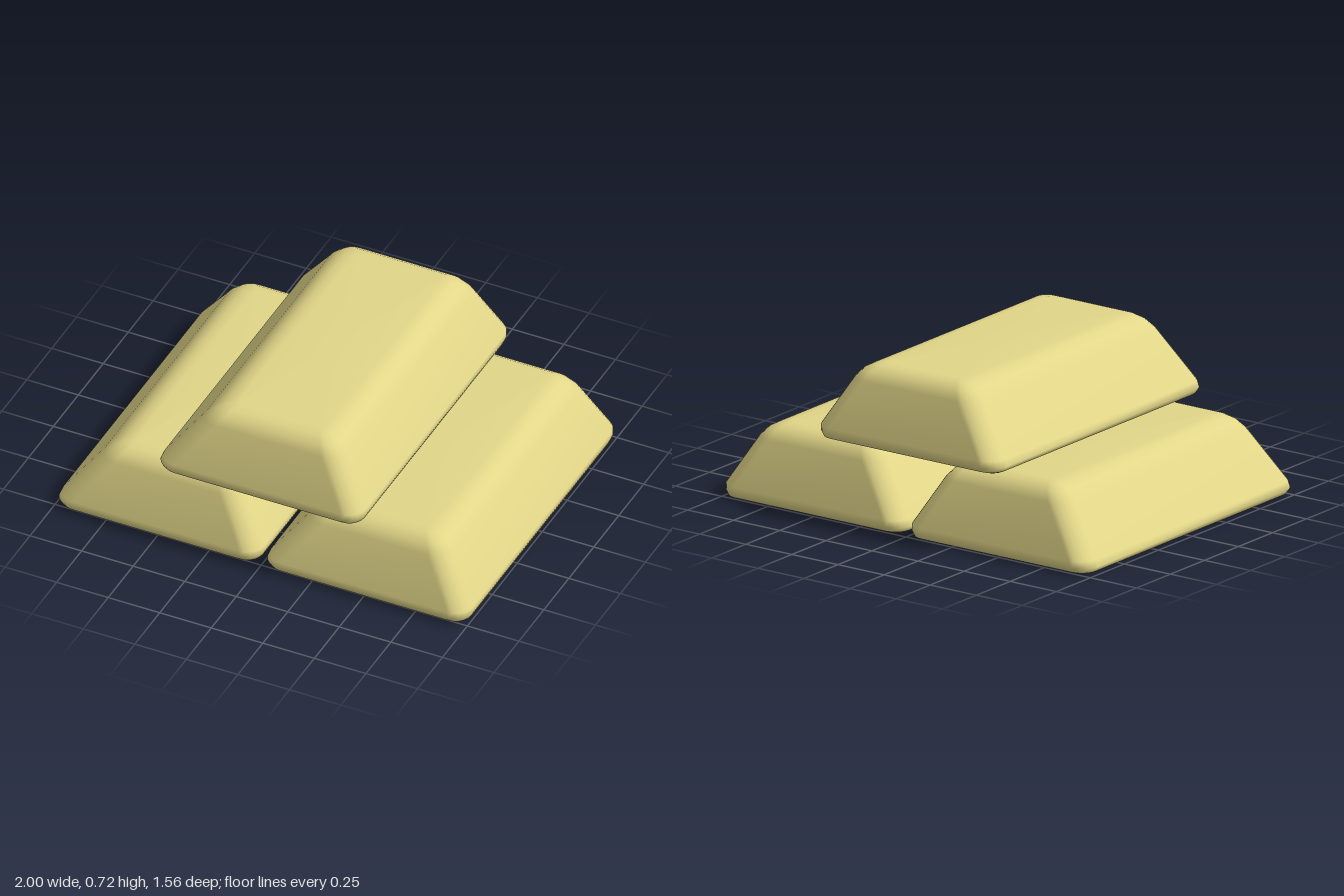
import * as THREE from 'three';

// Bar cross-sections from bottom to top: height, left x, right x, half length, corner radius
const SECTIONS = [
  [0, -0.455, 0.465, 0.73, 0.05],
  [0.012, -0.48, 0.485, 0.765, 0.075],
  [0.035, -0.495, 0.494, 0.777, 0.085],
  [0.065, -0.482, 0.494, 0.778, 0.085],
  [0.285, -0.315, 0.365, 0.705, 0.085],
  [0.325, -0.272, 0.328, 0.675, 0.07],
  [0.347, -0.23, 0.287, 0.64, 0.05],
  [0.355, -0.18, 0.24, 0.595, 0.02],
];
const STEPS = 5; // segments per rounded corner

// Rounded rectangle ring, turning from +x towards +z
function ring([y, left, right, half, r]) {
  const points = [];
  const corners = [[right - r, half - r], [left + r, half - r], [left + r, r - half], [right - r, r - half]];
  corners.forEach(([cx, cz], q) => {
    for (let i = 0; i <= STEPS; i++) {
      const a = (q + i / STEPS) * Math.PI / 2;
      points.push([cx + r * Math.cos(a), y, cz + r * Math.sin(a)]);
    }
  });
  return points;
}

function barGeometry() {
  const rings = SECTIONS.map(ring);
  const n = rings[0].length;
  const positions = rings.flat(2);
  const index = [];

  // Sloping sides and rounded edges
  for (let k = 0; k < rings.length - 1; k++) {
    for (let i = 0; i < n; i++) {
      const a = k * n + i, b = k * n + (i + 1) % n;
      index.push(a, a + n, b, b, a + n, b + n);
    }
  }

  // Flat bottom and top
  const bottom = rings.length * n, top = bottom + 1, last = (rings.length - 1) * n;
  positions.push(0, 0, 0, 0.03, 0.355, 0);
  for (let i = 0; i < n; i++) {
    const j = (i + 1) % n;
    index.push(bottom, i, j, top, last + j, last + i);
  }

  const geometry = new THREE.BufferGeometry();
  geometry.setAttribute('position', new THREE.Float32BufferAttribute(positions, 3));
  geometry.setIndex(index);
  geometry.computeVertexNormals();
  return geometry;
}

export function createModel() {
  const model = new THREE.Group();
  model.name = 'stackedBars';
  const gold = new THREE.MeshStandardMaterial({ color: 0xe2d688 });
  gold.name = 'paleGold';
  const geometry = barGeometry();

  // Two bars side by side with a third resting above the gap
  const bars = [['rightBar', -0.505, 0], ['leftBar', 0.505, 0], ['topBar', -0.012, 0.367]];
  for (const [name, x, y] of bars) {
    const bar = new THREE.Mesh(geometry, gold);
    bar.name = name;
    bar.position.set(x, y, 0);
    model.add(bar);
  }
  return model;
}
